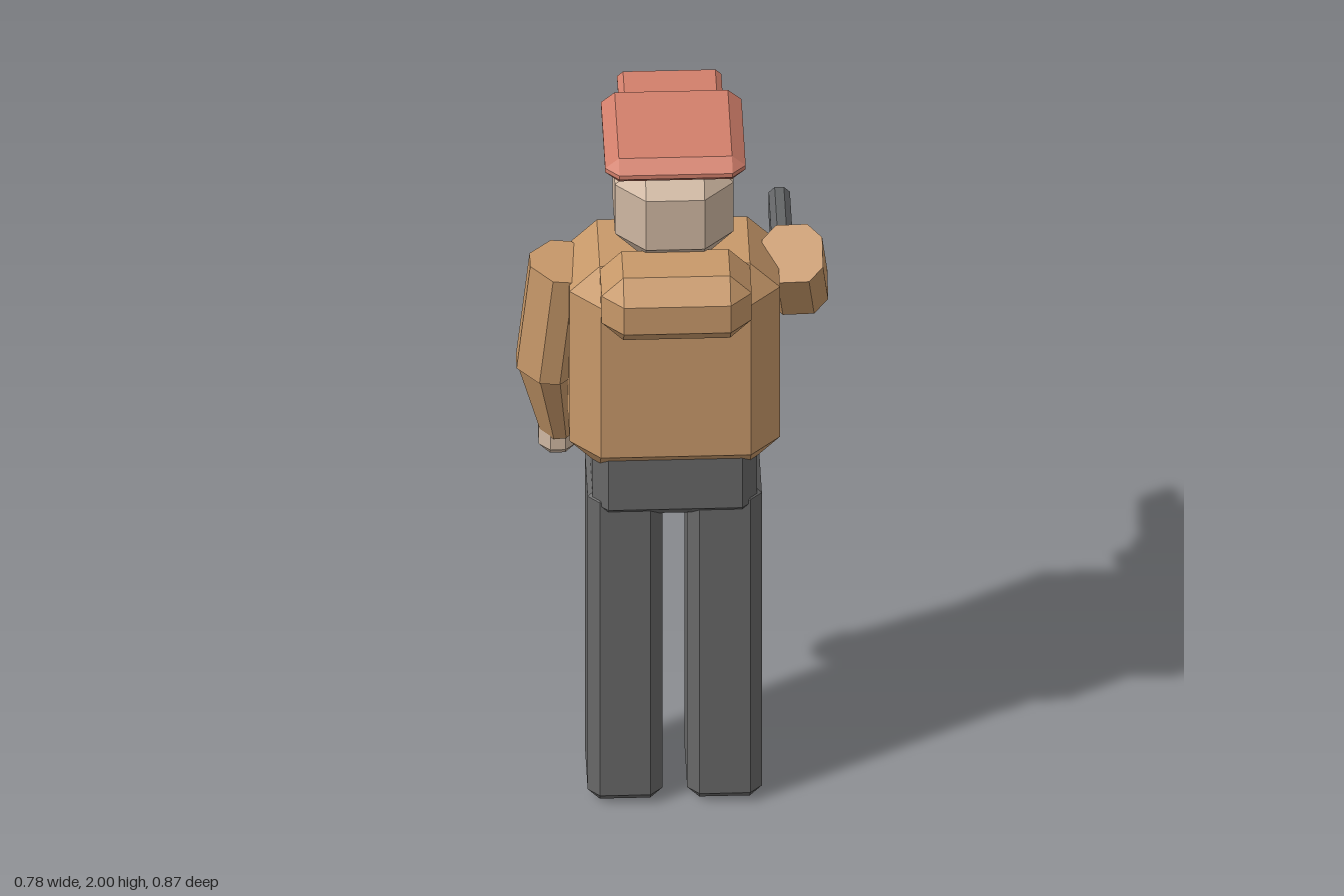
import * as THREE from 'three';
import { ConvexGeometry } from 'three/addons/geometries/ConvexGeometry.js';

const material = (name, color) => {
  const m = new THREE.MeshStandardMaterial({ color });
  m.name = name;
  return m;
};

// Box with every edge and corner cut off, given by its min/max on each axis
function chamferBox([x0, x1], [y0, y1], [z0, z1], c, cy = c) {
  const h = [(x1 - x0) / 2, (y1 - y0) / 2, (z1 - z0) / 2];
  const cut = [c, cy, c];
  const points = [];
  for (const sx of [-1, 1]) for (const sy of [-1, 1]) for (const sz of [-1, 1]) {
    const s = [sx, sy, sz];
    for (let outer = 0; outer < 3; outer++) {
      const p = s.map((sign, i) => sign * (i === outer ? h[i] : h[i] - cut[i]));
      points.push(new THREE.Vector3(...p));
    }
  }
  const geometry = new ConvexGeometry(points);
  geometry.translate((x0 + x1) / 2, (y0 + y1) / 2, (z0 + z1) / 2);
  return geometry;
}

// Tapered limb segment with a chamfered square section, rolled about its axis
function limb(from, to, h0, h1, roll) {
  const a = new THREE.Vector3(...from), b = new THREE.Vector3(...to);
  const axis = b.clone().sub(a).normalize();
  const side = new THREE.Vector3(1, 0, 0).addScaledVector(axis, -axis.x).normalize().applyAxisAngle(axis, roll);
  const front = axis.clone().cross(side);
  const points = [];
  for (const [centre, h] of [[a, h0], [b, h1]]) {
    const k = h * 0.52;
    for (const su of [-1, 1]) for (const sv of [-1, 1]) for (const [u, v] of [[h, k], [k, h]]) {
      points.push(centre.clone().addScaledVector(side, su * u).addScaledVector(front, sv * v));
    }
  }
  return new ConvexGeometry(points);
}

export function createModel() {
  const model = new THREE.Group();
  model.name = 'figure';
  const jacket = material('tan jacket', 0xc8996a);
  const trousers = material('grey trousers', 0x686868);
  const skin = material('skin', 0xd0b8a2);
  const red = material('red cap', 0xd27f6b);
  const metal = material('gunmetal', 0x636567);

  const add = (name, geometry, mat, parent = model) => {
    const mesh = new THREE.Mesh(geometry, mat);
    mesh.name = name;
    parent.add(mesh);
    return mesh;
  };

  // Legs and hips
  for (const [name, x] of [['leftLeg', 0.124], ['rightLeg', -0.124]]) {
    add(name, chamferBox([x - 0.093, x + 0.093], [0, 0.96], [0.042, 0.286], 0.03), trousers);
  }
  add('hips', chamferBox([-0.205, 0.205], [0.88, 1.13], [0.026, 0.302], 0.038), trousers);

  // Jacket body and rolled hood behind the neck
  add('torso', chamferBox([-0.262, 0.262], [1.03, 1.64], [-0.012, 0.337], 0.075), jacket);
  add('hood', chamferBox([-0.187, 0.187], [1.5, 1.69], [0.215, 0.437], 0.054), jacket);

  // Head and cap, with the peak towards -z
  add('head', chamferBox([-0.148, 0.148], [1.64, 1.94], [0.005, 0.302], 0.075), skin);
  const cap = new THREE.Group();
  cap.name = 'cap';
  model.add(cap);
  add('capCrown', chamferBox([-0.175, 0.175], [1.93, 2.0], [-0.012, 0.337], 0.034, 0.029), red, cap);
  add('capPeak', chamferBox([-0.13, 0.13], [1.93, 1.963], [-0.132, 0.1], 0.015, 0.014), red, cap);

  // Hanging arm
  const down = new THREE.Group();
  down.name = 'rightArm';
  model.add(down);
  add('rightUpperArm', limb([-0.277, 1.58, 0.155], [-0.31, 1.25, 0.13], 0.075, 0.075, Math.PI / 4), jacket, down);
  add('rightForearm', limb([-0.31, 1.28, 0.133], [-0.28, 1.01, 0.055], 0.073, 0.045, Math.PI / 4), jacket, down);
  add('rightHand', chamferBox([-0.332, -0.238], [0.93, 1.05], [0, 0.095], 0.028), skin, down);

  // Arm reaching forward
  const raised = new THREE.Group();
  raised.name = 'leftArm';
  model.add(raised);
  add('leftUpperArm', limb([0.297, 1.59, 0.156], [0.316, 1.37, -0.012], 0.075, 0.075, 0), jacket, raised);
  add('leftForearm', limb([0.316, 1.39, 0.01], [0.291, 1.328, -0.218], 0.073, 0.052, 0), jacket, raised);
  add('leftHand', chamferBox([0.236, 0.334], [1.263, 1.375], [-0.28, -0.19], 0.03), skin, raised);

  // Handheld blaster
  const tool = new THREE.Group();
  tool.name = 'blaster';
  model.add(tool);
  add('barrel', chamferBox([0.259, 0.312], [1.273, 1.376], [-0.437, -0.2], 0.015), metal, tool);
  const grip = add('grip', chamferBox([-0.023, 0.023], [-0.075, 0.075], [-0.03, 0.03], 0.012), metal, tool);
  grip.position.set(0.286, 1.253, -0.204);
  grip.rotation.x = 0.24;

  return model;
}
